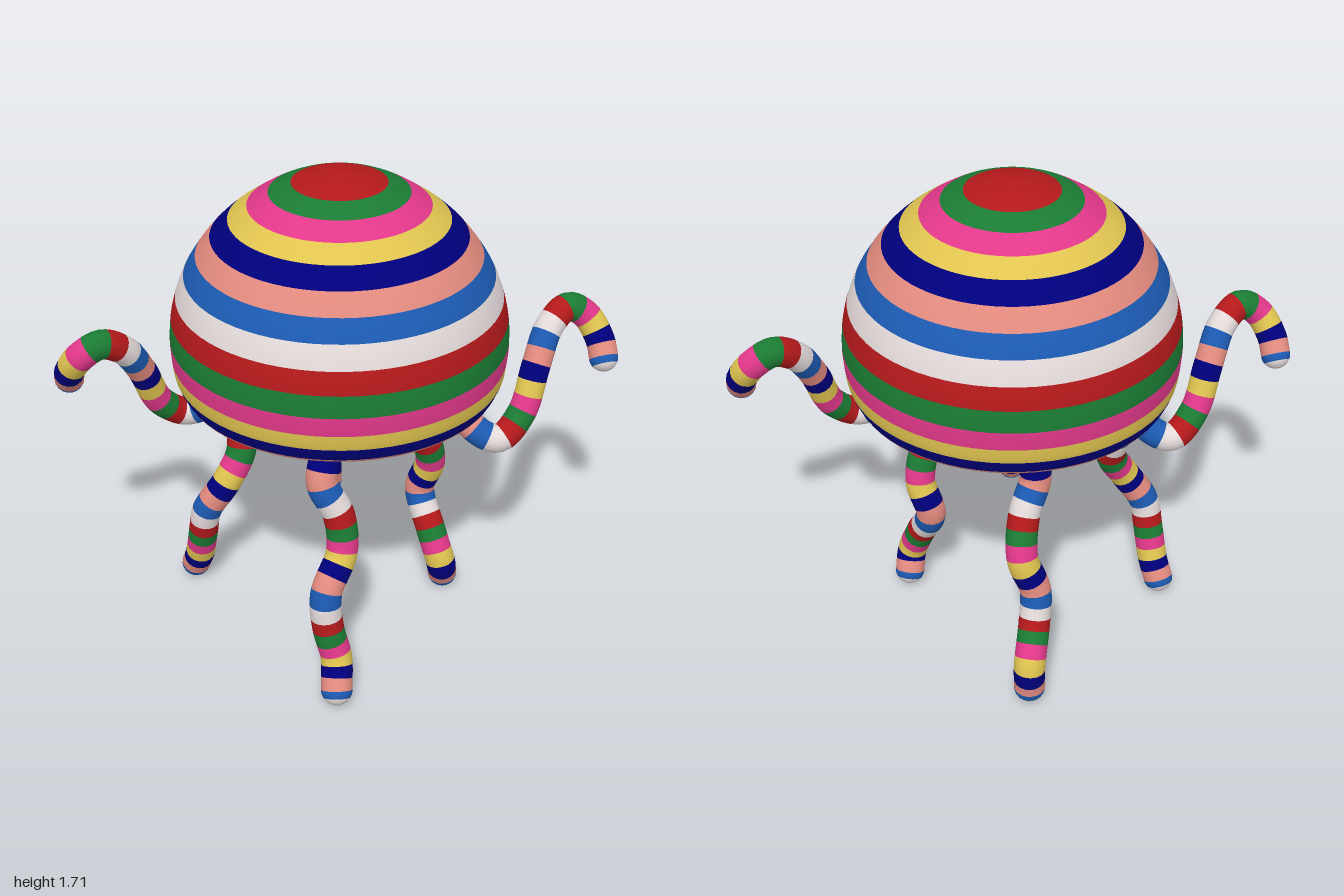
import * as THREE from 'three';

const paint = (name, color) => Object.assign(new THREE.MeshStandardMaterial({ color }), { name });

// stripe cycle, as it runs from a tentacle tip upwards
const stripes = [
  paint('white', 0xe4dada), paint('blue', 0x1c5ab2), paint('salmon', 0xe28a7e), paint('navy', 0x00007c),
  paint('yellow', 0xe0c450), paint('pink', 0xe2388a), paint('green', 0x1b7c34), paint('red', 0xb4191b),
];
const [WHITE, BLUE, SALMON, NAVY, YELLOW, PINK, GREEN, RED] = stripes.keys();

// Bell: each entry is the start of a stripe [radius, height, colour],
// from the hollow's centre, round the rim and up to the crown
const bellProfile = [
  [0, 0.99, GREEN], [0.08, 0.988, PINK], [0.16, 0.98, YELLOW], [0.24, 0.965, NAVY],
  [0.325, 0.932, SALMON], [0.4, 0.914, BLUE], [0.465, 0.911, WHITE], [0.52, 0.914, BLUE],
  [0.546, 0.923, SALMON], [0.56, 0.937, NAVY], [0.582, 0.988, YELLOW], [0.59, 1.045, PINK],
  [0.593, 1.114, GREEN], [0.586, 1.193, RED], [0.567, 1.272, WHITE], [0.535, 1.352, BLUE],
  [0.492, 1.423, SALMON], [0.44, 1.49, NAVY], [0.378, 1.55, YELLOW], [0.312, 1.598, PINK],
  [0.24, 1.643, GREEN], [0.163, 1.677, RED], [0.08, 1.7, RED], [0, 1.71, RED],
];

function makeBell() {
  const SUB = 4, SEG = 72;
  const bands = bellProfile.length - 1;
  const curve = new THREE.SplineCurve(bellProfile.map(([r, y]) => new THREE.Vector2(r, y)));
  const points = curve.getPoints(bands * SUB);
  points.forEach((p) => { p.x = Math.max(p.x, 0); });
  const geometry = new THREE.LatheGeometry(points, SEG);

  // reorder the faces ring by ring so each stripe is one group
  const index = [], n = points.length;
  for (let j = 0; j < n - 1; j++) {
    for (let i = 0; i < SEG; i++) {
      const a = i * n + j, b = a + n;
      index.push(a, b, a + 1, b + 1, a + 1, b);
    }
  }
  geometry.setIndex(index);
  const size = SUB * SEG * 6;
  for (let k = 0; k < bands; k++) geometry.addGroup(k * size, size, bellProfile[k][2]);
  const bell = new THREE.Mesh(geometry, stripes);
  bell.name = 'bell';
  bell.position.z = -0.007;
  return bell;
}

// Smooth path whose stripes get slightly shorter towards the tip
class TentacleCurve extends THREE.CatmullRomCurve3 {
  getUtoTmapping(u, distance) {
    return super.getUtoTmapping(1 - (1 - u) ** 1.05, distance);
  }
}

// Striped tube with a round tip, blue at its edge and white at its end; the path runs from base to tip
function makeTentacle(name, path, radius = 0.055) {
  const BANDS = 20, SUB = 4, RADIAL = 18, WHITE_ANGLE = 1.05;
  const group = new THREE.Group();
  group.name = name;
  const curve = new TentacleCurve(path.map((p) => new THREE.Vector3(...p)));
  const geometry = new THREE.TubeGeometry(curve, BANDS * SUB, radius, RADIAL);
  const size = SUB * RADIAL * 6;
  for (let k = 0; k < BANDS; k++) geometry.addGroup(k * size, size, (BANDS + 1 - k) % 8);
  const tube = new THREE.Mesh(geometry, stripes);
  tube.name = 'stripedTube';
  group.add(tube);

  const addTip = (tipName, color, start, length) => {
    const tip = new THREE.Mesh(new THREE.SphereGeometry(radius, RADIAL, 6, 0, Math.PI * 2, start, length), stripes[color]);
    tip.name = tipName;
    tip.position.set(...path[path.length - 1]);
    tip.quaternion.setFromUnitVectors(new THREE.Vector3(0, 1, 0), curve.getTangent(1));
    group.add(tip);
  };
  addTip('tipEnd', WHITE, 0, WHITE_ANGLE);
  addTip('tipEdge', BLUE, WHITE_ANGLE, Math.PI / 2 - WHITE_ANGLE);
  return group;
}

const armPath = [
  [0.38, 0.96, -0.01], [0.41, 0.88, 0.03], [0.47, 0.775, 0.09], [0.565, 0.733, 0.11], [0.65, 0.81, 0.06],
  [0.70, 0.97, 0], [0.75, 1.09, -0.07], [0.82, 1.14, -0.12], [0.89, 1.10, -0.13], [0.94, 1.02, -0.09], [0.95, 0.97, -0.05],
];

const legPaths = {
  frontLeg: [
    [-0.04, 0.95, 0.36], [-0.05, 0.88, 0.385], [-0.07, 0.77, 0.435], [-0.015, 0.655, 0.455], [-0.005, 0.52, 0.485],
    [-0.06, 0.40, 0.56], [-0.055, 0.27, 0.58], [-0.027, 0.15, 0.6], [-0.027, 0.055, 0.66],
  ],
  backLeg: [
    [-0.04, 0.95, -0.385], [-0.05, 0.88, -0.388], [-0.06, 0.78, -0.395], [-0.02, 0.67, -0.45], [-0.01, 0.53, -0.515],
    [-0.055, 0.40, -0.53], [-0.05, 0.285, -0.57], [-0.03, 0.16, -0.652], [-0.03, 0.058, -0.65],
  ],
  leftLeg: [
    [0.22, 0.95, 0.03], [0.225, 0.87, 0.03], [0.24, 0.77, 0.01], [0.315, 0.655, -0.02], [0.34, 0.53, -0.055],
    [0.305, 0.40, -0.08], [0.345, 0.26, -0.01], [0.385, 0.13, 0.03], [0.395, 0.06, 0],
  ],
  rightLeg: [
    [-0.3, 0.95, -0.055], [-0.345, 0.87, -0.07], [-0.37, 0.75, -0.085], [-0.36, 0.61, -0.04], [-0.42, 0.49, 0],
    [-0.495, 0.37, 0], [-0.515, 0.26, -0.02], [-0.535, 0.13, -0.06], [-0.555, 0.06, -0.09],
  ],
};

export function createModel() {
  const model = new THREE.Group();
  model.name = 'stripedJellyfish';
  model.add(makeBell());

  // raised side arms, the second turned half way round
  const leftArm = makeTentacle('leftArm', armPath, 0.052);
  const rightArm = makeTentacle('rightArm', armPath, 0.052);
  rightArm.rotation.y = Math.PI;
  model.add(leftArm, rightArm);

  // hanging legs
  for (const [name, path] of Object.entries(legPaths)) model.add(makeTentacle(name, path));
  return model;
}
